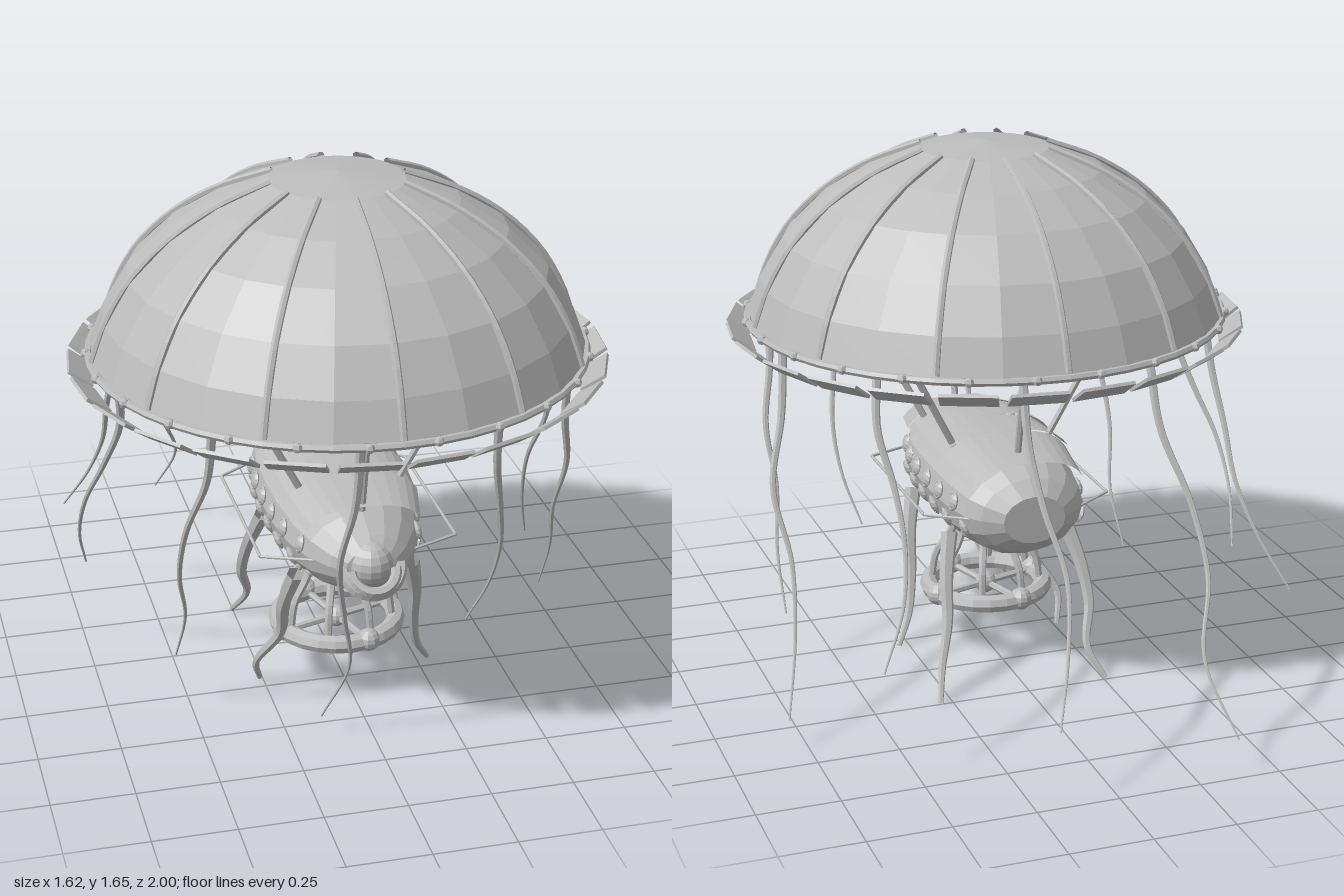
import * as THREE from 'three';

const CX = -0.01, CZ = 0.195; // canopy axis
const HULL_Y = 0.58, HULL_WIDE = 1.33;
const V = (x, y, z) => new THREE.Vector3(x, y, z);

const grey = new THREE.MeshStandardMaterial({ color: 0xbcbcbc, flatShading: true, side: THREE.DoubleSide });
grey.name = 'paleGrey';

function add(parent, name, geometry, x = 0, y = 0, z = 0) {
  const mesh = new THREE.Mesh(geometry, grey);
  mesh.name = name;
  mesh.position.set(x, y, z);
  parent.add(mesh);
  return mesh;
}

// Straight rod between two points
function rod(parent, name, a, b, r) {
  const mesh = add(parent, name, new THREE.CylinderGeometry(r, r, a.distanceTo(b), 6));
  mesh.position.copy(a).lerp(b, 0.5);
  mesh.quaternion.setFromUnitVectors(V(0, 1, 0), b.clone().sub(a).normalize());
}

// Tube along a smooth path, thinning from r0 to r1
function taperedTube(parent, name, points, r0, r1, segments = 24, sides = 6) {
  const curve = new THREE.CatmullRomCurve3(points);
  const geo = new THREE.TubeGeometry(curve, segments, r0, sides);
  const pos = geo.attributes.position;
  const v = V(0, 0, 0);
  for (let i = 0; i < pos.count; i++) {
    const t = Math.floor(i / (sides + 1)) / segments;
    const c = curve.getPointAt(t);
    v.fromBufferAttribute(pos, i).sub(c).multiplyScalar(1 + (r1 / r0 - 1) * t).add(c);
    pos.setXYZ(i, v.x, v.y, v.z);
  }
  add(parent, name, geo);
}

// Outer dome profile: radius, height
const DOME = [[0.737, 1.13], [0.697, 1.24], [0.62, 1.37], [0.5, 1.488], [0.36, 1.575], [0.2, 1.638], [0, 1.66]];

function buildCanopy() {
  const g = new THREE.Group();
  g.name = 'canopy';
  g.position.set(CX, 0, CZ);
  const underside = [[0, 1.05], [0.52, 1.05], [0.55, 1.105], [0.735, 1.11]];
  const profile = [...underside, ...DOME].map(([r, y]) => new THREE.Vector2(r, y));
  add(g, 'dome', new THREE.LatheGeometry(profile, 24));

  // Rim hoop
  add(g, 'rimHoop', new THREE.TorusGeometry(0.74, 0.012, 6, 48), 0, 1.12, 0).rotation.x = Math.PI / 2;

  for (let i = 0; i < 12; i++) {
    const a = (i * Math.PI) / 6;
    const pts = DOME.slice(0, -1).map(([r, y]) => V(r * Math.sin(a), y + 0.003, r * Math.cos(a)));
    taperedTube(g, 'domeRib', pts, 0.011, 0.011, 16);
  }
  for (let i = 0; i < 24; i++) {
    const sector = new THREE.Group();
    sector.name = 'rimSector';
    sector.rotation.y = ((i + 0.5) * Math.PI) / 12;
    g.add(sector);
    // Upturned rim plate and its bolt
    add(sector, 'rimPlate', new THREE.BoxGeometry(0.17, 0.01, 0.085), 0, 1.075, 0.765).rotation.x = -0.62;
    add(sector, 'rimBolt', new THREE.SphereGeometry(0.015, 6, 4), 0, 1.122, 0.748);
  }
  return g;
}

// Hull profile: radius, position along z
const HULL = [[0, -0.265], [0.075, -0.265], [0.12, -0.22], [0.145, -0.17], [0.162, -0.05], [0.167, 0.1],
  [0.165, 0.25], [0.152, 0.4], [0.128, 0.5], [0.09, 0.58], [0.06, 0.615], [0, 0.63]];

function hullRadius(z) {
  const i = HULL.findIndex((p, k) => k > 1 && p[1] >= z);
  const [r0, z0] = HULL[i - 1], [r1, z1] = HULL[i];
  return r0 + ((r1 - r0) * (z - z0)) / (z1 - z0);
}

function porthole(side, y, z, r) {
  const dy = y - HULL_Y;
  const x = HULL_WIDE * Math.sqrt(hullRadius(z) ** 2 - dy * dy);
  const p = new THREE.Group();
  p.name = 'porthole';
  p.position.set(x, y, z);
  p.rotation.z = Math.atan2(dy, x / HULL_WIDE ** 2);
  side.add(p);
  add(p, 'portGlass', new THREE.SphereGeometry(r * 0.9, 10, 6)).scale.x = 0.5;
  add(p, 'portFrame', new THREE.TorusGeometry(r * 0.88, r * 0.2, 5, 12)).rotation.y = Math.PI / 2;
}

// Open roof shell, squared off towards its lower edges
function roofShell(zFront, zBack, rFront, rBack) {
  const geo = new THREE.CylinderGeometry(rFront, rBack, zFront - zBack, 12, 1, true, Math.PI - 1.1, 2.2);
  const pos = geo.attributes.position;
  for (let i = 0; i < pos.count; i++) {
    const x = pos.getX(i), z = pos.getZ(i), r = Math.hypot(x, z);
    pos.setX(i, 1.24 * Math.sign(x) * r * Math.abs(x / r) ** 0.75);
    pos.setZ(i, Math.sign(z) * r * Math.abs(z / r) ** 0.6);
  }
  return geo;
}

function buildGondola() {
  const g = new THREE.Group();
  g.name = 'gondola';
  g.position.x = CX;

  const hull = add(g, 'hull', new THREE.LatheGeometry(HULL.map(([r, z]) => new THREE.Vector2(r, z)), 16), 0, HULL_Y, 0);
  hull.rotation.x = Math.PI / 2;
  hull.scale.x = HULL_WIDE;

  // Overlapping roof plates: front z, back z, front radius, back radius
  for (const p of [[0.52, 0.36, 0.152, 0.182], [0.37, 0.19, 0.177, 0.189],
    [0.2, 0.02, 0.183, 0.19], [0.03, -0.2, 0.184, 0.158]]) {
    add(g, 'roofPlate', roofShell(...p), 0, HULL_Y, (p[0] + p[1]) / 2).rotation.x = Math.PI / 2;
  }

  // Nose lamp with a hanging double lip
  add(g, 'noseLamp', new THREE.SphereGeometry(0.07, 14, 10), 0, 0.585, 0.59);
  for (const [r, t, z] of [[0.088, 0.019, 0.605], [0.068, 0.016, 0.632]]) {
    add(g, 'noseLip', new THREE.TorusGeometry(r, t, 6, 14, Math.PI), 0, 0.582, z).rotation.set(-0.7, 0, Math.PI);
  }

  // Portholes and side rails
  for (const s of [1, -1]) {
    const side = new THREE.Group();
    side.name = s > 0 ? 'leftSide' : 'rightSide';
    side.scale.x = s;
    g.add(side);
    for (let i = 0; i < 6; i++) {
      const z = 0.46 - i * 0.111;
      porthole(side, 0.605, z, 0.028);
      porthole(side, 0.537, z - 0.055, 0.028);
      porthole(side, 0.497, z - 0.01, 0.014);
    }
    const rail = [V(0.13, 0.575, 0.53), V(0.3, 0.575, 0.46), V(0.3, 0.575, -0.1), V(0.17, 0.575, -0.19)];
    for (let i = 0; i < 3; i++) rod(side, 'sideRail', rail[i], rail[i + 1], 0.005);
  }

  // Struts up to the canopy
  for (let i = 0; i < 6; i++) {
    const a = (i * Math.PI) / 3, s = Math.sin(a), c = Math.cos(a);
    rod(g, 'canopyStrut', V(0.375 * s, 1.06, CZ + 0.375 * c), V(0.16 * s, 0.7, CZ + 0.295 * c), 0.011);
  }
  return g;
}

function buildLowerWheel() {
  const g = new THREE.Group();
  g.name = 'lowerWheel';
  g.position.set(CX, 0.195, CZ);
  add(g, 'wheelRing', new THREE.TorusGeometry(0.185, 0.029, 8, 24)).rotation.x = Math.PI / 2;
  add(g, 'wheelHub', new THREE.SphereGeometry(0.035, 10, 8));
  for (let i = 0; i < 4; i++) {
    const a = 0.3 + (i * Math.PI) / 2;
    const end = V(0.185 * Math.sin(a), 0, 0.185 * Math.cos(a));
    rod(g, 'wheelSpoke', V(0, 0, 0), end, 0.011);
    add(g, 'wheelKnob', new THREE.SphereGeometry(0.036, 10, 8), end.x * 1.02, 0.005, end.z * 1.02);
  }
  // Curved hangers from the hull
  for (let i = 0; i < 8; i++) {
    const a = ((i + 0.5) * Math.PI) / 4;
    const pts = [[0.08, 0.26], [0.115, 0.17], [0.16, 0.1], [0.175, 0.01]].map(([r, y]) => V(r * Math.sin(a), y, r * Math.cos(a)));
    taperedTube(g, 'wheelHanger', pts, 0.014, 0.011, 10);
  }
  return g;
}

function buildLegs() {
  const g = new THREE.Group();
  g.name = 'legs';
  const ys = [0.47, 0.34, 0.22, 0.1, 0.01];
  const frontZ = [0.4, 0.345, 0.3, 0.25, 0.2], rearZ = [-0.01, -0.07, -0.125, -0.19, -0.25];
  const paths = [
    ['frontLeftLeg', [0.17, 0.2, 0.21, 0.235, 0.285], frontZ],
    ['rearLeftLeg', [0.18, 0.21, 0.225, 0.265, 0.29], rearZ],
    ['frontRightLeg', [-0.19, -0.215, -0.215, -0.28, -0.26], frontZ],
    ['rearRightLeg', [-0.2, -0.235, -0.245, -0.215, -0.255], rearZ],
  ];
  for (const [name, xs, zs] of paths) taperedTube(g, name, xs.map((x, i) => V(x, ys[i], zs[i])), 0.027, 0.008);
  return g;
}

function buildTentacles() {
  const g = new THREE.Group();
  g.name = 'tentacles';
  // Each row: end y, backward drift, sideways path; placed every 36 degrees
  const rows = [
    [0.07, -0.31, [-0.115, -0.12, -0.15, -0.12, -0.085, -0.15]],
    [0.315, -0.29, [0.3, 0.31, 0.34, 0.365, 0.355, 0.31]],
    [0.2, -0.36, [0.61, 0.62, 0.655, 0.645, 0.67, 0.67]],
    [0.1, -0.48, [0.67, 0.695, 0.75, 0.725, 0.75, 0.805]],
    [0.35, -0.4, [0.49, 0.505, 0.48, 0.475, 0.51, 0.6]],
    [0.24, -0.51, [0.11, 0.115, 0.1, 0.07, 0.11, 0.18]],
    [0.125, -0.575, [-0.31, -0.32, -0.375, -0.385, -0.32, -0.37]],
    [0.34, -0.38, [-0.62, -0.63, -0.645, -0.65, -0.69, -0.76]],
    [0.33, -0.4, [-0.69, -0.68, -0.72, -0.77, -0.78, -0.75]],
    [0.2, -0.36, [-0.49, -0.5, -0.55, -0.56, -0.53, -0.545]],
  ];
  rows.forEach(([yEnd, drift, xs], k) => {
    const z0 = CZ + 0.69 * Math.cos(((-9 + 36 * k) * Math.PI) / 180);
    const pts = xs.map((x, i) => {
      const t = i / 5;
      return V(x, 1.11 + (yEnd - 1.11) * t, z0 + drift * t ** 1.3);
    });
    taperedTube(g, 'tentacle', pts, 0.014, 0.003, 30);
  });
  return g;
}

export function createModel() {
  const model = new THREE.Group();
  model.name = 'jellyfishAirship';
  model.add(buildCanopy(), buildGondola(), buildLowerWheel(), buildLegs(), buildTentacles());
  return model;
}
